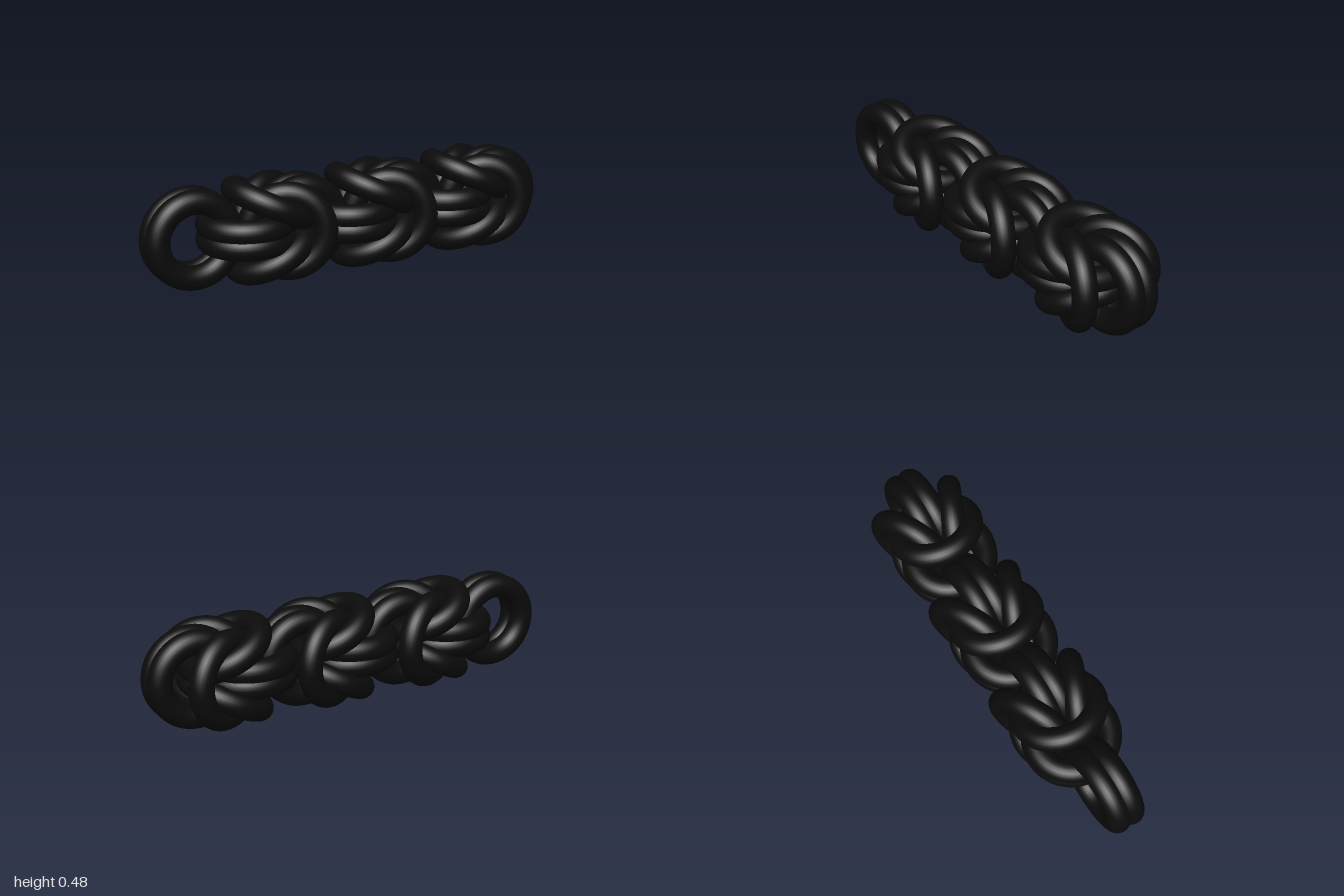
import * as THREE from 'three';

const WIRE = 0.055;      // wire radius
const RADIUS = 0.17;     // ring radius to the wire's centre
const TWIN = 0.035;      // half spacing of paired rings
const TILT = 0.45;       // splay angle of the leaning rings
const STEP = 0.775 / 3;  // distance between neighbouring links
const AXIS_Y = 0.238;    // height of the chain's axis

const ringGeometry = new THREE.TorusGeometry(RADIUS, WIRE, 24, 72);
const material = new THREE.MeshStandardMaterial({ color: 0x0b0b0b });

function addRing(parent, name) {
  const ring = new THREE.Mesh(ringGeometry, material);
  ring.name = name;
  parent.add(ring);
  return ring;
}

// Two rings side by side in the local XY plane
function twinRings(name) {
  const link = new THREE.Group();
  link.name = name;
  for (const side of [-1, 1]) addRing(link, 'twinRing').position.z = side * TWIN;
  return link;
}

// Twin rings with two leaning rings opening in a V towards local +x
function splayedLink(name) {
  const link = twinRings(name);
  for (const side of [-1, 1]) {
    const ring = addRing(link, 'leaningRing');
    ring.position.set(0.147, side * (TWIN + RADIUS * Math.sin(TILT)), 0);
    ring.rotation.set(Math.PI / 2, 0, side * TILT, 'ZYX');
  }
  return link;
}

export function createModel() {
  const group = new THREE.Group();
  const place = (link, x) => {
    link.position.set(x, AXIS_Y, 0);
    group.add(link);
    return link;
  };

  // Plain end loop
  place(twinRings('endLoop'), -3 * STEP);

  // Flat links open to the right, upright links back to the left
  for (let i = -1; i <= 1; i++) {
    place(splayedLink('flatLink'), 2 * i * STEP).rotation.x = Math.PI / 2;
    place(splayedLink('uprightLink'), (2 * i + 1) * STEP).rotation.y = Math.PI;
  }

  return group;
}
